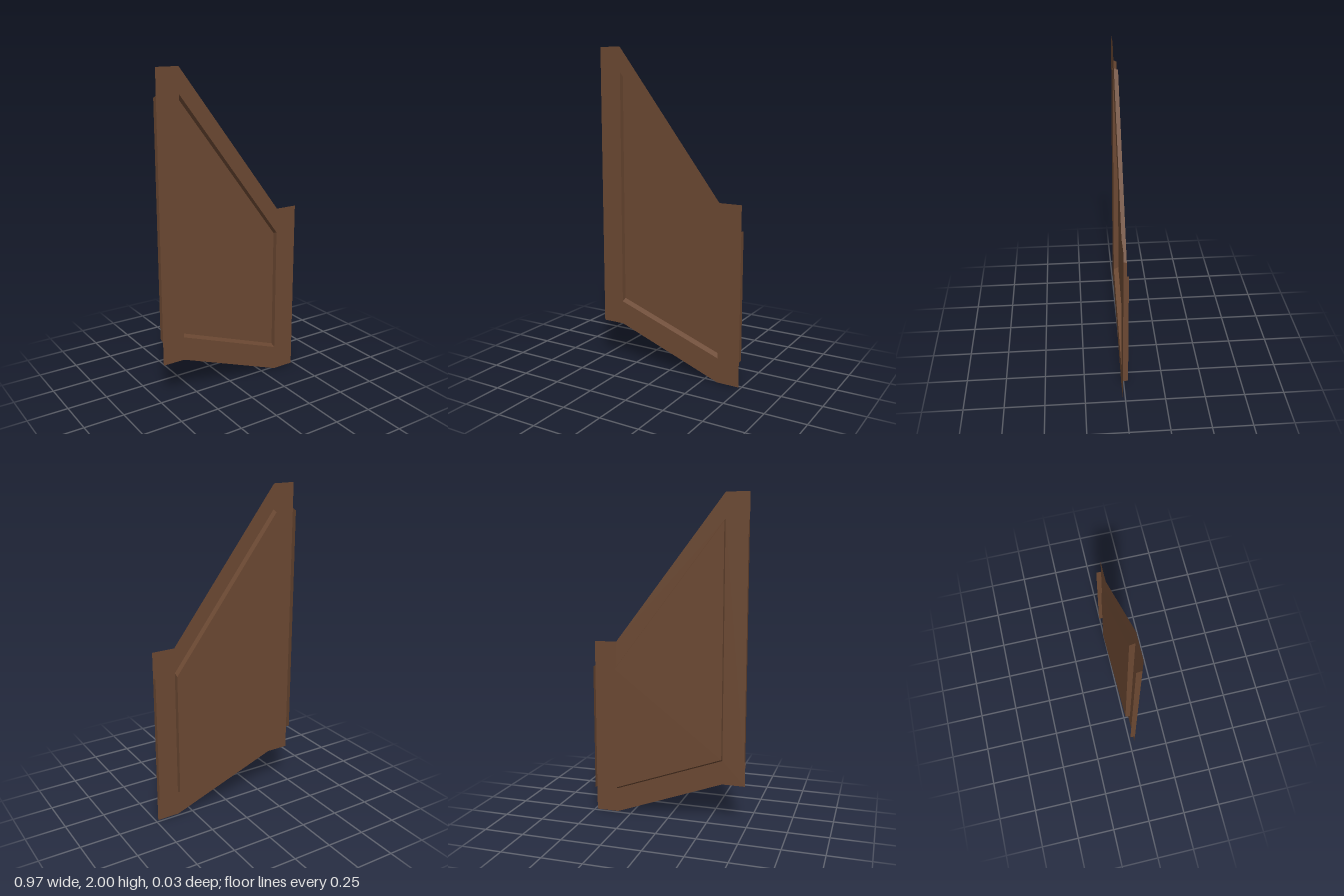
import * as THREE from 'three';

const FRONT = 0.0155, BACK = -0.0155; // sheet depths
const OUT = 0.484, IN = 0.342;        // outer and inner half widths

export function createModel() {
  const group = new THREE.Group();
  const wood = new THREE.MeshStandardMaterial({ color: 0x6b4832, side: THREE.DoubleSide });
  wood.name = 'brown wood';

  const add = (name, geometry, z = 0) => {
    const mesh = new THREE.Mesh(geometry, wood);
    mesh.name = name;
    mesh.position.z = z;
    group.add(mesh);
  };
  const points = list => list.map(([x, y]) => new THREE.Vector2(x, y));

  // four-cornered strip
  const quad = (a, b, c, d) => {
    const g = new THREE.BufferGeometry();
    g.setAttribute('position', new THREE.Float32BufferAttribute([...a, ...b, ...c, ...d], 3));
    g.setIndex([0, 1, 2, 0, 2, 3]);
    g.computeVertexNormals();
    return g;
  };

  // recess corners, anticlockwise from lower left: at the frame and at the panel
  const opening = [[-IN, 0.402], [IN, 0.155], [IN, 0.95], [-IN, 1.85]];
  const recessed = [[-IN, 0.417], [IN, 0.17], [IN, 0.938], [-IN, 1.836]];

  // flat frame sheet with an opening
  const outline = new THREE.Shape(points([
    [-OUT, 0.253], [-IN, 0.253], [IN, 0], [OUT, 0],
    [OUT, 1.105], [IN, 1.105], [-IN, 2], [-OUT, 2],
  ]));
  outline.holes.push(new THREE.Path(points(opening)));
  add('frame', new THREE.ShapeGeometry(outline), FRONT);

  // set-back panel
  add('panel', new THREE.ShapeGeometry(new THREE.Shape(points(recessed))), BACK);

  // walls joining frame and panel
  ['bottomWall', 'rightWall', 'topWall', 'leftWall'].forEach((name, i) => {
    const j = (i + 1) % 4;
    add(name, quad([...opening[i], FRONT], [...recessed[i], BACK],
      [...recessed[j], BACK], [...opening[j], FRONT]));
  });

  // narrow flanges behind the outer edges
  for (const [name, x, low, high, lowBack, highBack] of [
    ['shortFlange', OUT, 0.155, 0.95, 0.158, 0.948],
    ['tallFlange', -OUT, 0.402, 1.85, 0.417, 1.836],
  ]) {
    add(name, quad([x, low, FRONT], [x, lowBack, BACK], [x, highBack, BACK], [x, high, FRONT]));
  }

  return group;
}
